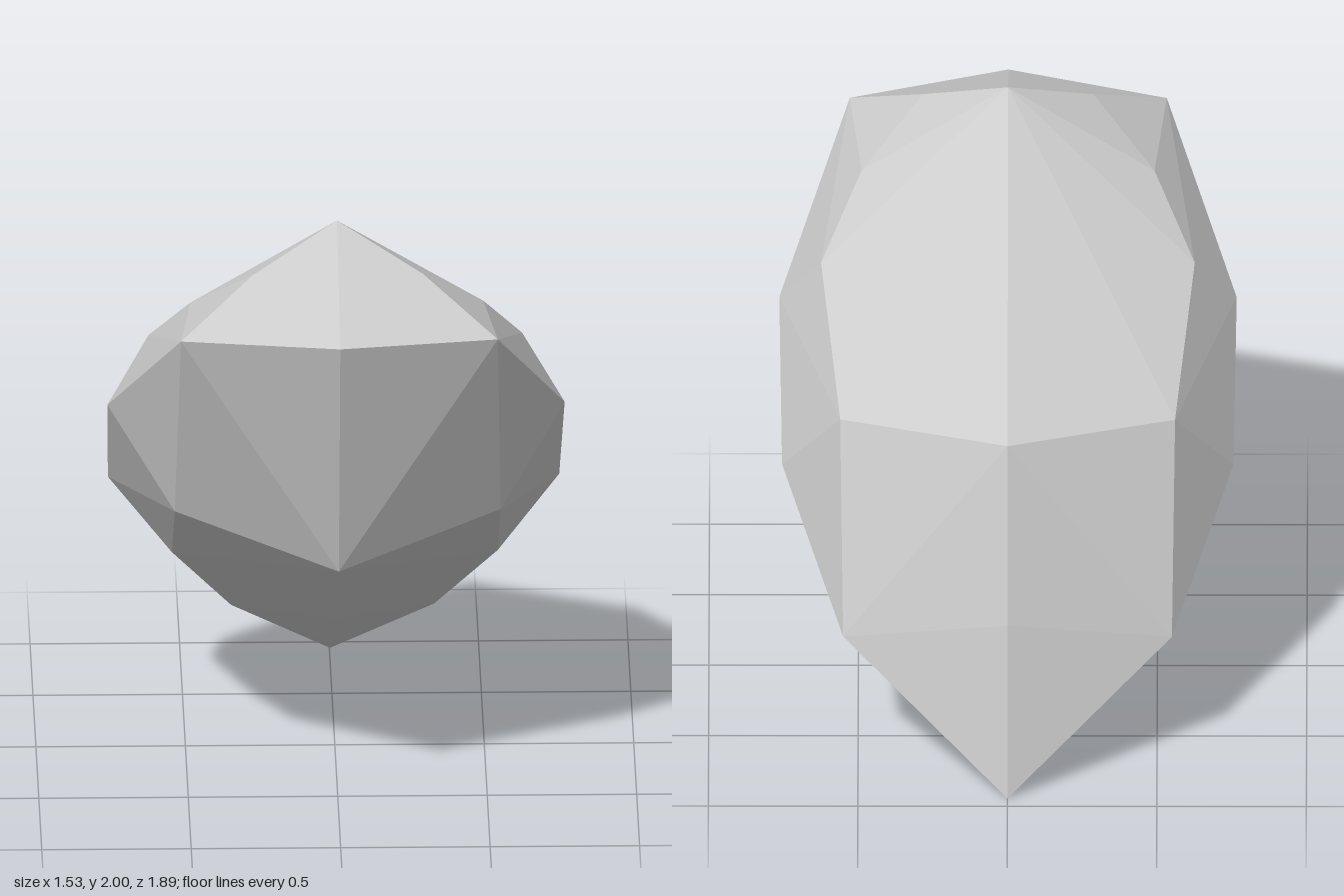
import * as THREE from 'three';
import { ConvexGeometry } from 'three/addons/geometries/ConvexGeometry.js';

// Corners on the symmetry plane, as [y, z]
const ridge = [
  [2.0, 0.36],    // peak
  [1.755, 0.945], // front brow
  [0.87, 0.69],   // front chin
  [0.45, 0.0],    // bowed underside
  [0.22, -0.39],
  [0.09, -0.7],
  [0.0, -0.945],  // lower tip
  [0.6, -0.842],  // bowed back edge
  [1.2, -0.69],   // rear shoulder
];

// Corners of one half, mirrored to the other, as [x, y, z]
const flank = [
  [0.285, 1.875, 0.545], // top rim
  [0.53, 1.73, 0.79],
  [0.49, 1.7, 0.33],
  [0.625, 1.49, 0.07],
  [0.56, 1.17, -0.445],
  [0.765, 1.29, 0.2],    // widest girdle
  [0.755, 0.88, -0.22],
  [0.55, 0.475, -0.685],
  [0.545, 1.01, 0.475],  // lower facets
  [0.545, 0.69, 0.0],
  [0.34, 0.36, -0.385],
];

export function createModel() {
  const points = ridge.map(([y, z]) => new THREE.Vector3(0, y, z));
  for (const side of [-1, 1])
    for (const [x, y, z] of flank) points.push(new THREE.Vector3(side * x, y, z));

  const stone = new THREE.Mesh(
    new ConvexGeometry(points),
    new THREE.MeshStandardMaterial({ color: 0xcccccc, flatShading: true })
  );
  stone.name = 'facetedStone';

  const group = new THREE.Group();
  group.name = 'stone';
  group.add(stone);
  return group;
}
